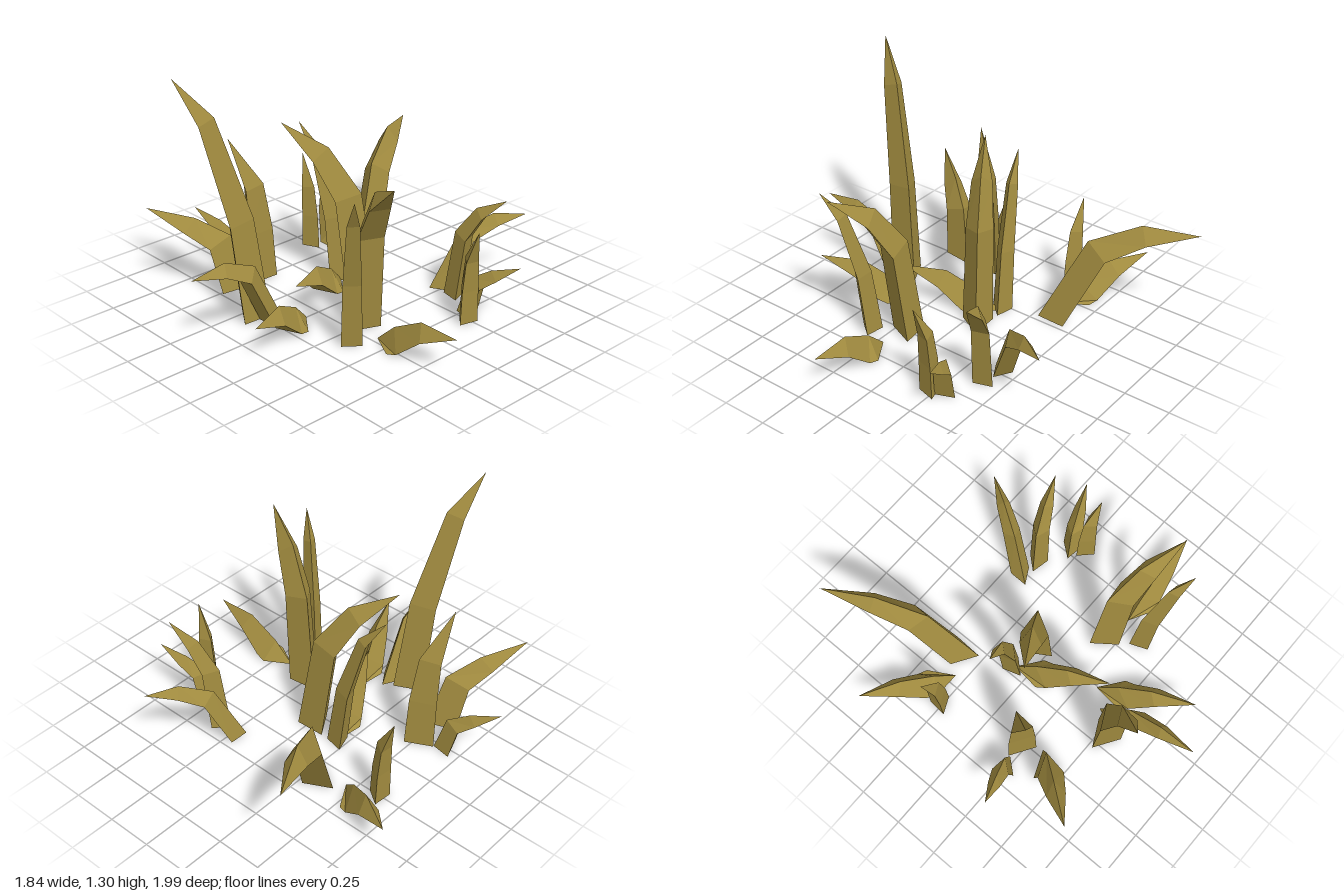
import * as THREE from 'three';

// Blade shapes: [outward distance, height, tilt in degrees, radius] for the
// base and two bends, then the tip as [distance, height].
const SHAPES = {
  tall: { rings: [[0, 0.005, 0, 0.093], [0.06, 0.54, 10, 0.082], [0.205, 1.075, 20, 0.056]], tip: [0.35, 1.3] },
  arched: { rings: [[0, 0.005, 0, 0.093], [0.07, 0.54, 17, 0.083], [0.21, 0.755, 45, 0.064]], tip: [0.415, 0.91] },
  drooping: { rings: [[0, 0.005, 0, 0.093], [0.215, 0.445, 40, 0.083], [0.44, 0.557, 75, 0.064]], tip: [0.72, 0.585] },
  low: { rings: [[0, 0.005, 0, 0.093], [0.075, 0.05, 50, 0.083], [0.225, 0.155, 65, 0.06]], tip: [0.425, 0.205] },
  leaning: { rings: [[0, 0.005, 0, 0.093], [0.07, 0.275, 25, 0.08], [0.215, 0.37, 48, 0.058]], tip: [0.425, 0.48] },
  upright: { rings: [[0, 0.005, 0, 0.09], [0.01, 0.28, 3, 0.083], [0.035, 0.535, 10, 0.066]], tip: [0.15, 0.81] },
};

// Each blade: shape, base x, base z, tip x, tip z, scale
const BLADES = [
  ['tall', -0.19, 0.53, -0.38, 0.82, 1],
  ['tall', -0.21, -0.09, -0.445, -0.015, 0.66],
  ['tall', 0.35, 0.345, 0.53, 0.49, 0.66],
  ['arched', -0.03, -0.065, -0.385, 0.155, 1],
  ['arched', 0.25, 0.175, 0.635, 0.34, 1],
  ['arched', 0.345, -0.395, 0.605, -0.48, 0.66],
  ['drooping', -0.327, -0.363, -0.66, -1.0, 1],
  ['drooping', 0.23, -0.41, 0.465, -0.80, 0.66],
  ['drooping', -0.085, 0.485, -0.06, 0.99, 0.71],
  ['low', -0.53, -0.35, -0.905, -0.57, 1],
  ['low', -0.165, 0.0, 0.005, 0.405, 1],
  ['low', 0.03, 0.415, 0.205, 0.825, 1],
  ['low', 0.495, 0.215, 0.92, 0.205, 1],
  ['leaning', -0.52, 0.405, -0.78, 0.74, 1],
  ['leaning', -0.66, 0.24, -0.92, 0.335, 0.66],
  ['leaning', 0.53, -0.30, 0.78, -0.40, 0.66],
  ['upright', -0.515, 0.215, -0.595, 0.34, 1],
  ['upright', -0.623, -0.257, -0.712, -0.265, 0.66],
  ['upright', 0.575, -0.235, 0.668, -0.21, 0.66],
];

// Three-sided blade with its ridge on the inner side, tapering to a point
function bladeGeometry([shapeName, x, z, tipX, tipZ, scale]) {
  const { rings, tip } = SHAPES[shapeName];
  const out = new THREE.Vector3(tipX - x, 0, tipZ - z).normalize();
  const side = new THREE.Vector3(-out.z, 0, out.x);
  const points = [];
  for (const [d, y, tilt, r] of rings) {
    const t = THREE.MathUtils.degToRad(tilt);
    const across = out.clone().multiplyScalar(Math.cos(t));
    across.y = -Math.sin(t);
    for (let k = 0; k < 3; k++) {
      const a = Math.PI + (k * Math.PI * 2) / 3;
      const p = new THREE.Vector3(x, Math.max(y * scale, 0), z)
        .addScaledVector(out, d * scale)
        .addScaledVector(across, r * scale * Math.cos(a))
        .addScaledVector(side, r * scale * Math.sin(a));
      p.y = Math.max(p.y, 0);
      points.push(p);
    }
  }
  points.push(new THREE.Vector3(tipX, tip[1] * scale, tipZ));

  const index = [0, 1, 2]; // base cap
  const last = rings.length - 1;
  for (let k = 0; k < 3; k++) {
    const n = (k + 1) % 3;
    for (let i = 0; i < last; i++) {
      const b = i * 3, t = b + 3;
      index.push(b + k, t + k, b + n, t + k, t + n, b + n);
    }
    index.push(last * 3 + k, points.length - 1, last * 3 + n);
  }
  const indexed = new THREE.BufferGeometry().setFromPoints(points);
  indexed.setIndex(index);
  const flat = indexed.toNonIndexed(); // hard facets
  flat.computeVertexNormals();
  return flat;
}

export function createModel() {
  const group = new THREE.Group();
  group.name = 'grassTuft';
  const dryGrass = new THREE.MeshStandardMaterial({ color: 0xa38d40 });
  dryGrass.name = 'dryGrass';
  BLADES.forEach((blade, i) => {
    const mesh = new THREE.Mesh(bladeGeometry(blade), dryGrass);
    mesh.name = `${blade[0]}Blade${i + 1}`;
    group.add(mesh);
  });
  return group;
}
